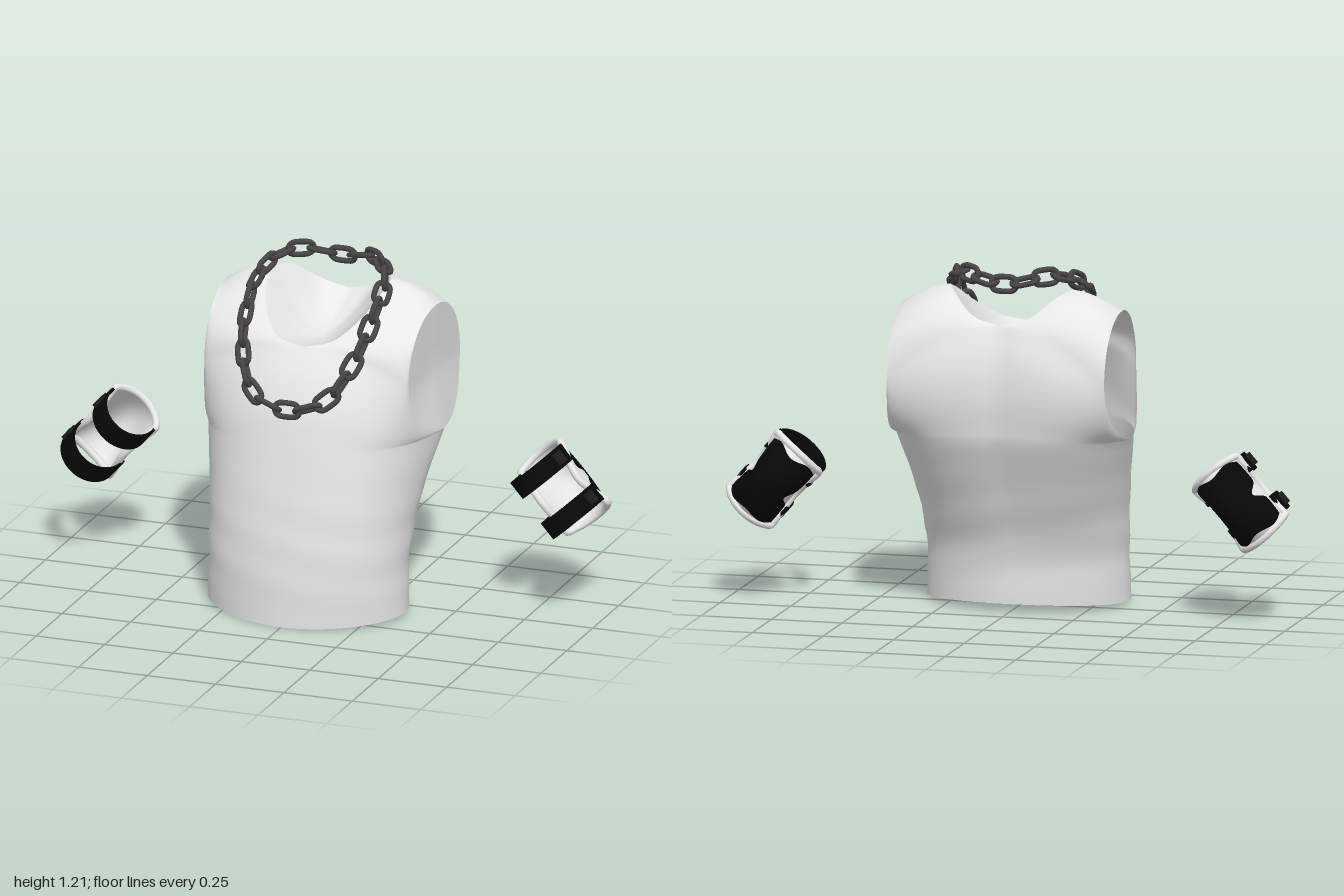
import * as THREE from 'three';
import { mergeGeometries, mergeVertices, toCreasedNormals } from 'three/addons/utils/BufferGeometryUtils.js';

const V = (x, y, z) => new THREE.Vector3(x, y, z);
const curve = (pts, closed = false) => new THREE.CatmullRomCurve3(pts.map((p) => V(...p)), closed);

function material(name, color, side = THREE.FrontSide) {
  const m = new THREE.MeshStandardMaterial({ color, side });
  m.name = name;
  return m;
}

function mesh(name, geometry, mat) {
  const m = new THREE.Mesh(geometry, mat);
  m.name = name;
  return m;
}

// Grid surface from fn(u, v), u and v in 0..1
function patch(nu, nv, fn, flip) {
  const pos = [], idx = [];
  for (let j = 0; j <= nv; j++) {
    for (let i = 0; i <= nu; i++) pos.push(...fn(i / nu, j / nv).toArray());
  }
  for (let j = 0; j < nv; j++) {
    for (let i = 0; i < nu; i++) {
      const a = j * (nu + 1) + i, b = a + 1, c = a + nu + 1, d = c + 1;
      if (flip) idx.push(a, c, b, b, c, d);
      else idx.push(a, b, c, b, d, c);
    }
  }
  const g = new THREE.BufferGeometry();
  g.setAttribute('position', new THREE.Float32BufferAttribute(pos, 3));
  g.setIndex(idx);
  g.computeVertexNormals();
  return g;
}

// Join patches into one smooth surface
function weld(parts) {
  parts.forEach((p) => p.deleteAttribute('normal'));
  const g = mergeVertices(mergeGeometries(parts), 1e-4);
  g.computeVertexNormals();
  return g;
}

// Sleeveless top: four mirrored quarters, each spanning from the centre line
// (then the neckline) to the side seam (then the armhole)
function makeTop(mat) {
  const seam = curve([[0.355, 0.015, 0.1], [0.35, 0.2, 0.09], [0.368, 0.4, 0.02], [0.415, 0.62, -0.11]]);
  const centre = {
    front: [
      curve([[0, 0.003, 0.37], [0, 0.2, 0.365], [0, 0.4, 0.343], [0, 0.62, 0.308]]),
      curve([[0, 0.62, 0.308], [0, 0.75, 0.28], [0, 0.86, 0.235], [0, 0.955, 0.175]]),
      curve([[0, 0.955, 0.175], [0.1, 0.975, 0.145], [0.175, 1.04, 0.05], [0.208, 1.1, -0.05], [0.215, 1.13, -0.13]]),
    ],
    back: [
      curve([[0, 0.03, -0.155], [0, 0.2, -0.165], [0, 0.4, -0.235], [0, 0.62, -0.325]]),
      curve([[0, 0.62, -0.325], [0, 0.78, -0.34], [0, 0.91, -0.325], [0, 1.02, -0.285]]),
      curve([[0, 1.02, -0.285], [0.1, 1.05, -0.27], [0.175, 1.11, -0.21], [0.215, 1.13, -0.13]]),
    ],
  };
  const surface = (face, mirror) => (u, v) => {
    const dir = face === 'front' ? 1 : -1;
    const t = v * 3, k = Math.min(2, Math.floor(t + 1e-6));
    const I = centre[face][k].getPoint(THREE.MathUtils.clamp(t - k, 0, 1));
    let A, flare;
    if (k < 1) {
      A = seam.getPoint(t);
      flare = 0.03 * t ** 3;
    } else {
      const phi = ((t - 1) / 2) * Math.PI, c = Math.cos(phi);
      flare = 0.03 * Math.max(0, c) ** 2;
      A = V(0.385 + flare - (dir > 0 ? 0.012 : 0) * Math.sin(phi),
        0.84 - 0.22 * c, -0.11 + dir * 0.232 * Math.sin(phi));
    }
    // fuller section at the armpit, shoulder blades pushed outward
    const full = Math.sin(Math.PI * Math.min(1, t / 2));
    const blade = dir < 0 ? 0.06 * Math.sin(Math.PI * THREE.MathUtils.clamp((t - 0.4) / 2.6, 0, 1)) : 0;
    const p1 = V(I.x + (0.5 + 0.1 * full) * (A.x - I.x), I.y, I.z - blade);
    const p2 = V(A.x - flare, A.y, A.z + (0.55 + 0.17 * full) * (I.z - A.z) - blade * 0.5);
    const p = new THREE.CubicBezierCurve3(I, p1, p2, A).getPoint(u);
    if (mirror) p.x *= -1;
    // soft folds round the waist
    const fade = Math.sin(Math.PI * THREE.MathUtils.clamp(p.y / 0.55, 0, 1));
    const fold = 1 + 0.006 * fade * Math.sin(p.y * 42 + p.x * 9 + p.z * 5);
    return V(p.x * fold, p.y, 0.08 + (p.z - 0.08) * fold);
  };

  const shell = [], neck = [], arm = [];
  for (const face of ['front', 'back']) {
    for (const mirror of [false, true]) {
      const fn = surface(face, mirror), flip = mirror !== (face === 'back');
      shell.push(patch(18, 48, fn, flip));
      // sunken bowl in the neckline
      neck.push(patch(16, 6, (u, v) => {
        const e = fn(0, (2 + u) / 3), y = e.y + (0.93 - e.y) * Math.sin((v * Math.PI) / 2);
        return e.lerp(V(0, 0, -0.03), v).setY(y);
      }, flip));
      // flat fill in the left armhole
      if (!mirror) {
        arm.push(patch(24, 3, (u, v) => fn(1, (1 + 2 * u) / 3).lerp(V(0.38, 0.84, -0.11), v), !flip));
      }
    }
  }
  const top = new THREE.Group();
  top.name = 'sleevelessTop';
  top.add(mesh('topShell', weld(shell), mat), mesh('neckBowl', weld(neck), mat),
    mesh('armholeFill', weld(arm), mat));
  return top;
}

// Necklace of interlocked oval links
function makeChain(mat) {
  const half = [[0.13, 0.81, 0.285], [0.2, 0.925, 0.205], [0.228, 1.06, 0.08], [0.22, 1.145, -0.05], [0.15, 1.18, -0.17]];
  const path = curve([[0, 0.77, 0.31], ...half, [0, 1.158, -0.23],
    ...half.slice().reverse().map(([x, y, z]) => [-x, y, z])], true);
  const oval = [];
  for (let i = 0; i < 16; i++) {
    const a = ((i + 0.5) / 16) * Math.PI * 2;
    oval.push([Math.cos(a) * 0.023 + Math.sign(Math.cos(a)) * 0.022, Math.sin(a) * 0.024, 0]);
  }
  const link = new THREE.TubeGeometry(curve(oval, true), 32, 0.01, 7, true);
  const chain = new THREE.Group();
  chain.name = 'chainNecklace';
  const count = 26;
  for (let i = 0; i < count; i++) {
    const p = path.getPointAt(i / count), T = path.getTangentAt(i / count);
    const N = p.clone().sub(V(0, 0.8, -0.1));
    N.addScaledVector(T, -N.dot(T)).normalize();
    N.applyAxisAngle(T, i % 2 ? 1.0 : -0.1);
    const m = mesh('chainLink', link, mat);
    m.quaternion.setFromRotationMatrix(new THREE.Matrix4().makeBasis(T, N.clone().cross(T), N));
    m.position.copy(p);
    chain.add(m);
  }
  return chain;
}

// Elbow guard; local x runs across the arm, y forward, z along the arm
function makeGuard(side, mats) {
  const guard = new THREE.Group();
  guard.name = side > 0 ? 'leftElbowGuard' : 'rightElbowGuard';
  const across = V(0.75 * side, 0.66, 0).normalize(), forward = V(0, 0, 1);
  guard.quaternion.setFromRotationMatrix(
    new THREE.Matrix4().makeBasis(across, forward, across.clone().cross(forward)));
  guard.position.set(0.825 * side, 0.43, 0);

  const edge = (s) => 1.57 - 0.42 * s * s;
  const shell = (a, s, lift = 0) => V(
    (0.084 + 0.022 * s * s + lift) * Math.sin(a),
    -0.148 - (0.163 - 0.07 * s * s + lift) * Math.cos(a),
    side * 0.143 * s * (0.82 + 0.2 * Math.cos(a)));

  // cupped shell and its dark cover
  guard.add(mesh('elbowShell', patch(24, 20, (u, v) => {
    const s = v * 2 - 1;
    return shell((u * 2 - 1) * edge(s), s);
  }, side < 0), mats.light));
  guard.add(mesh('elbowCover', patch(36, 36, (u, v) => {
    const c = u * 2 - 1;
    const s = (v * 2 - 1) * (0.88 - 0.05 * Math.cos(c * 5));
    const reach = edge(s) - 0.2 - 0.42 * Math.exp(-(((s - 0.05) / 0.18) ** 2));
    return shell(c * reach, s, 0.005);
  }, side < 0), mats.cover));

  // rolled rim
  const rim = [], n = 10;
  for (let i = 0; i < n; i++) rim.push(shell(edge(1) * (-1 + (2 * i) / n), -1));
  for (let i = 0; i < n; i++) rim.push(shell(edge(-1 + (2 * i) / n), -1 + (2 * i) / n));
  for (let i = 0; i < n; i++) rim.push(shell(edge(1) * (1 - (2 * i) / n), 1));
  for (let i = 0; i < n; i++) rim.push(shell(-edge(1 - (2 * i) / n), 1 - (2 * i) / n));
  guard.add(mesh('shellRim',
    new THREE.TubeGeometry(new THREE.CatmullRomCurve3(rim, true), 120, 0.013, 8, true), mats.light));

  // two straps with buckles
  for (const [t, depth] of [[-0.093, 0.16], [0.08, 0.172]]) {
    const band = new THREE.Shape();
    band.absellipse(0, -0.15, 0.104, depth, -0.2, Math.PI + 0.2, false);
    band.absellipse(0, -0.15, 0.094, depth - 0.011, Math.PI + 0.2, -0.2, true);
    const g = new THREE.ExtrudeGeometry(band, { depth: 0.068, bevelEnabled: false, curveSegments: 28 });
    g.translate(0, 0, side * t - 0.034);
    guard.add(mesh('strap', toCreasedNormals(g, 0.6), mats.strap));
    const buckle = mesh('buckle', new THREE.BoxGeometry(0.016, 0.045, 0.045), mats.metal);
    buckle.position.set(0.1, -0.105, side * t);
    guard.add(buckle);
  }
  return guard;
}

export function createModel() {
  const cloth = material('paleGreyCloth', 0xeeeeee, THREE.DoubleSide);
  const metal = material('darkMetal', 0x484446);
  const mats = {
    light: material('lightPadding', 0xf0f0f0, THREE.DoubleSide),
    cover: material('blackCover', 0x080808, THREE.DoubleSide),
    strap: material('blackStrap', 0x080808),
    metal: material('buckleGrey', 0x1c1c1c),
  };
  const model = new THREE.Group();
  model.name = 'outfit';
  model.add(makeTop(cloth), makeChain(metal), makeGuard(1, mats), makeGuard(-1, mats));
  return model;
}
